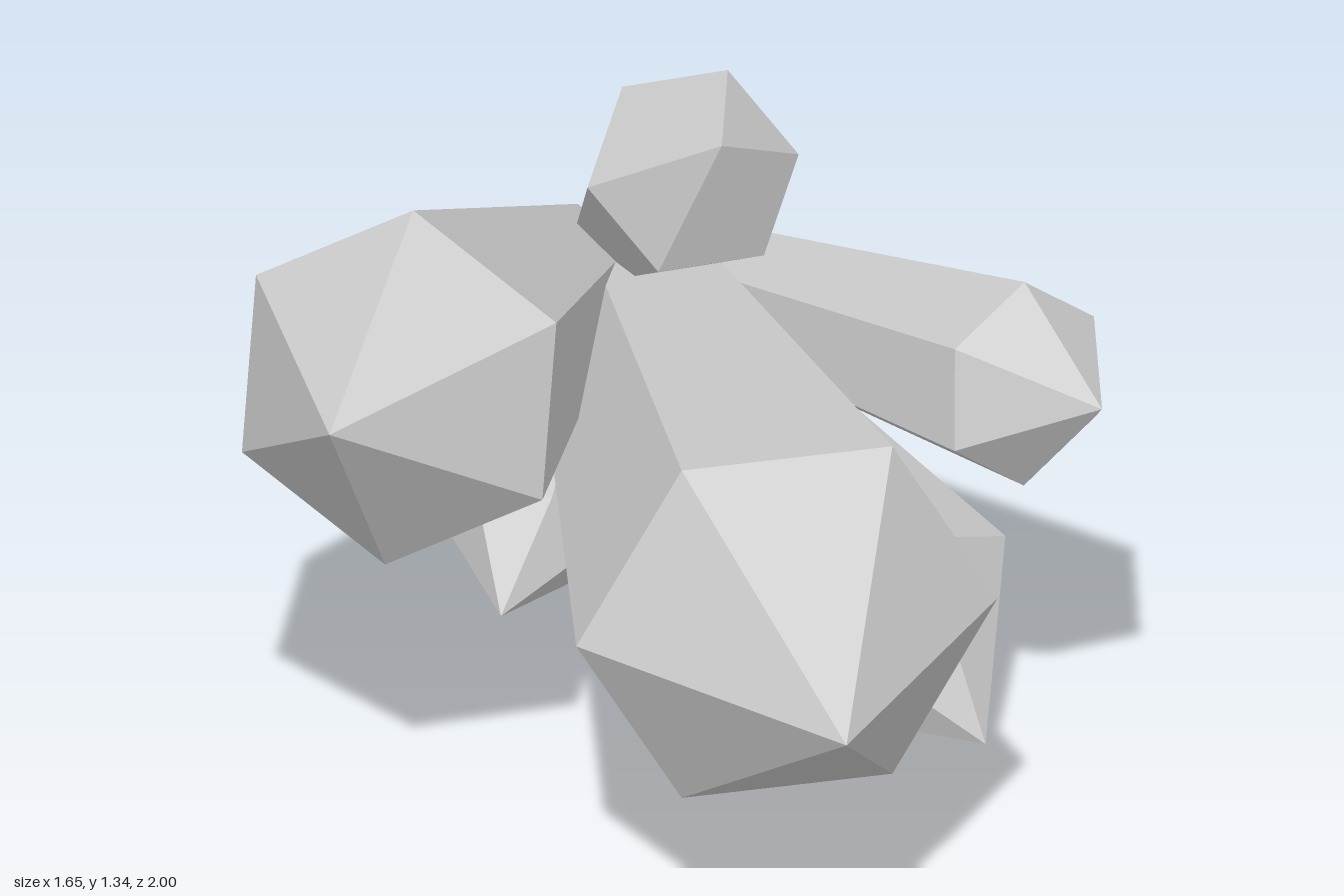
import * as THREE from 'three';

// Shared point from which all crystals grow
const ROOT = new THREE.Vector3(0.105, 0.685, -1);

// tip: crystal point; collar: centre of the widest ring; corner: one corner of that ring;
// radius: widest ring; foot: [distance from root, radius] of the small ring
const CRYSTALS = [
  { name: 'mainCrystal', tip: [0.105, 0.685, 1], collar: [0.105, 0.685, 0.505], corner: [0.515, 0.685, 0.505], radius: 0.413, foot: [0.2, 0.19] },
  { name: 'upperRightCrystal', tip: [-0.755, 1.12, 0.35], collar: [-0.533, 0.986, 0.02], corner: [-0.48, 1.32, -0.07], radius: 0.35, foot: [0.2, 0.13] },
  { name: 'topCrystal', tip: [0.14, 1.345, -0.185], collar: [0.118, 1.183, -0.388], corner: [-0.09, 1.185, -0.37], radius: 0.21, foot: [0.147, 0.1] },
  { name: 'upperLeftCrystal', tip: [0.78, 0.93, 0.26], collar: [0.67, 0.888, 0.065], corner: [0.67, 1.08, 0], radius: 0.202, foot: [0.2, 0.11] },
  { name: 'lowerLeftCrystal', tip: [0.6, 0.11, 0.055], collar: [0.47, 0.248, -0.205], corner: [0.44, 0.005, -0.32], radius: 0.271, foot: [0.165, 0.113] },
  { name: 'lowerRightCrystal', tip: [-0.275, 0.33, -0.26], collar: [-0.181, 0.393, -0.42], corner: [-0.277, 0.507, -0.41], radius: 0.15, foot: [0.17, 0.14] },
];

// Six-sided crystal: pointed root, small ring, wide ring, pointed tip
function makeCrystal({ name, tip, collar, corner, radius, foot }, material) {
  const tipV = new THREE.Vector3(...tip).sub(ROOT);
  const collarV = new THREE.Vector3(...collar);
  const length = tipV.length();
  const axis = tipV.clone().normalize();
  const collarAt = collarV.clone().sub(ROOT).dot(axis);

  const profile = [[0, 0], [foot[1], foot[0]], [radius, collarAt], [0, length]]
    .map(([r, h]) => new THREE.Vector2(r, h));
  const geometry = new THREE.LatheGeometry(profile, 6);

  // Turn the crystal so that one corner lies in the given direction
  const out = new THREE.Vector3(...corner).sub(collarV);
  out.addScaledVector(axis, -out.dot(axis)).normalize();
  const side = new THREE.Vector3().crossVectors(axis, out);
  geometry.applyMatrix4(new THREE.Matrix4().makeBasis(side, axis, out).setPosition(ROOT));

  const mesh = new THREE.Mesh(geometry, material);
  mesh.name = name;
  return mesh;
}

export function createModel() {
  const group = new THREE.Group();
  group.name = 'crystalCluster';
  const material = new THREE.MeshStandardMaterial({ color: 0xcccccc, flatShading: true });
  for (const crystal of CRYSTALS) group.add(makeCrystal(crystal, material));
  return group;
}
